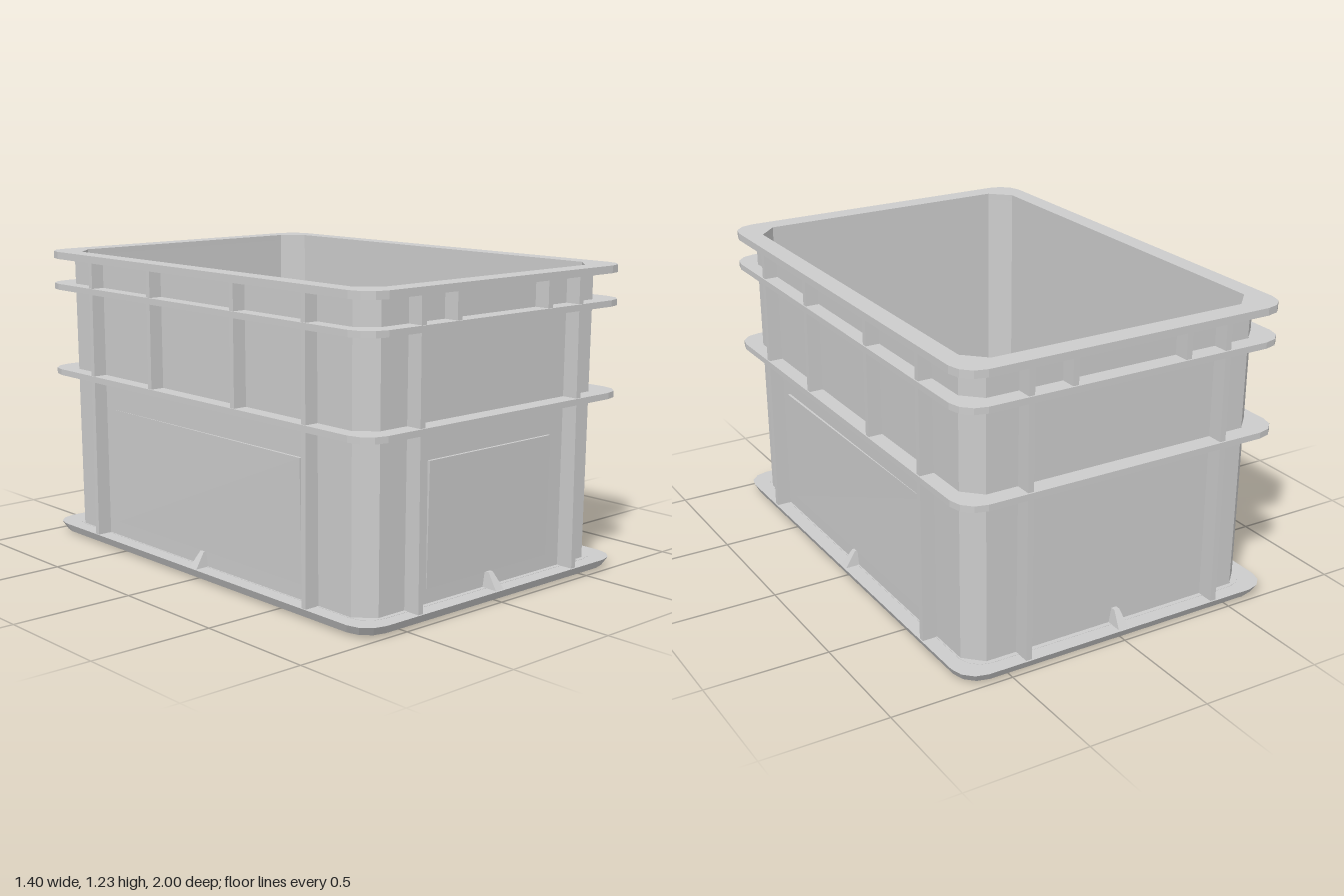
import * as THREE from 'three';

const mat = new THREE.MeshStandardMaterial({ color: 0xcccccc, flatShading: true });

// Rectangle with corners cut in `steps` facets (1 = plain chamfer)
function outline(hx, hz, r, steps, Type = THREE.Shape) {
  const pts = [];
  [[1, 1], [-1, 1], [-1, -1], [1, -1]].forEach(([sx, sz], q) => {
    for (let i = 0; i <= steps; i++) {
      const a = (q + i / steps) * Math.PI / 2;
      pts.push(new THREE.Vector2(sx * (hx - r) + r * Math.cos(a), sz * (hz - r) + r * Math.sin(a)));
    }
  });
  return new Type(pts);
}

// Flat shape on the ground plane, raised from y0 to y1
function slab(shape, y0, y1) {
  const geo = new THREE.ExtrudeGeometry(shape, { depth: y1 - y0, bevelEnabled: false });
  return geo.rotateX(-Math.PI / 2).translate(0, y0, 0);
}

// Move the vertices of a geometry by a rule
function reshape(geo, rule) {
  const p = geo.attributes.position, v = new THREE.Vector3();
  for (let i = 0; i < p.count; i++) {
    v.fromBufferAttribute(p, i);
    rule(v);
    p.setXYZ(i, v.x, v.y, v.z);
  }
  geo.computeVertexNormals();
  return geo;
}

export function createModel() {
  const group = new THREE.Group();
  const add = (name, geo, parent = group) => {
    const mesh = new THREE.Mesh(geo, mat);
    mesh.name = name;
    parent.add(mesh);
    return mesh;
  };
  const draft = y => 0.99 + 0.01 * y / 1.2;

  // Thin walls, slightly narrower towards the floor
  const wall = outline(0.64, 0.93, 0.07, 1);
  wall.holes.push(outline(0.62, 0.912, 0.08, 1, THREE.Path));
  add('walls', reshape(slab(wall, 0.045, 1.21), v => {
    v.x *= draft(v.y);
    v.z *= draft(v.y);
  }));

  // Top rim and horizontal bands around the walls
  const ring = (name, y0, y1, hx, hz, holeX, holeZ) => {
    const shape = outline(hx, hz, 0.1, 3);
    shape.holes.push(outline(holeX, holeZ, 0.08, 1, THREE.Path));
    return add(name, slab(shape, y0, y1));
  };
  ring('rim', 1.195, 1.225, 0.7, 1, 0.62, 0.912);
  ring('upperBand', 1.065, 1.09, 0.7, 1, 0.63, 0.92);
  ring('middleBand', 0.7, 0.725, 0.7, 1, 0.63, 0.92);
  const foot = ring('bottomBand', 0.01, 0.045, 0.7, 1, 0.6, 0.89);
  reshape(foot.geometry, v => { if (v.y < 0.02) { v.x *= 0.975; v.z *= 0.98; } });

  // Floor plate, and an underside frame with a cross and four pockets
  add('floor', slab(outline(0.63, 0.915, 0.08, 1), 0.045, 0.06));
  const frame = outline(0.64, 0.94, 0.09, 3);
  for (const sx of [-1, 1]) for (const sz of [-1, 1]) {
    frame.holes.push(new THREE.Path([
      [0.14, 0.12], [0.58, 0.12], [0.58, 0.82], [0.53, 0.87], [0.14, 0.87],
    ].map(([x, z]) => new THREE.Vector2(sx * x, sz * z))));
    // Tapered diagonal rib in the pocket
    const rib = reshape(new THREE.BoxGeometry(0.6, 0.035, 0.03), v => {
      if (v.y < 0 && v.x > 0) v.y = 0.012;
      if (v.y < 0) v.z *= 0.3;
    });
    const mesh = add('pocketRib', rib);
    mesh.position.set(sx * 0.33, 0.03, sz * 0.37);
    mesh.rotation.y = Math.atan2(-sz * 0.5, sx * 0.38);
  }
  add('baseFrame', slab(frame, 0, 0.046));

  // Fittings are laid out facing +z, then turned onto each side
  const sides = [
    { name: 'front', turn: 0, from: 0.92, to: 0.993, label: 0.33 },
    { name: 'back', turn: Math.PI, from: 0.92, to: 0.993 },
    { name: 'left', turn: Math.PI / 2, from: 0.628, to: 0.695, long: true, label: 0.59, thin: 1 },
    { name: 'right', turn: -Math.PI / 2, from: 0.628, to: 0.695, long: true, label: 0.59, thin: -1 },
  ];
  for (const s of sides) {
    const side = new THREE.Group();
    side.name = s.name + 'SideFittings';
    side.rotation.y = s.turn;
    group.add(side);

    // Vertical ribs, mirrored: distance from the middle, bottom, top
    const ribs = s.long
      ? [[0.665, 0.04, 1.2], [0.262, 0.715, 1.2]]
      : [[0.425, 0.04, 1.2], [0.245, 1.08, 1.2]];
    for (const [x, y0, y1] of ribs) for (const m of [-1, 1]) {
      const geo = new THREE.BoxGeometry(0.024, y1 - y0, s.to - s.from);
      add('verticalRib', geo.translate(m * x, (y0 + y1) / 2, (s.from + s.to) / 2), side);
    }

    // Small pointed gusset in the middle of the bottom band
    const gusset = reshape(new THREE.BoxGeometry(0.045, 0.065, s.to - s.from), v => {
      if (v.y > 0) {
        v.x *= 0.5;
        if (v.z > 0) v.z = -0.015;
      }
    });
    add('gusset', gusset.translate(0, 0.073, (s.from + s.to) / 2), side);

    // Raised label panel that fades out downwards, and to one end on the long sides
    if (s.label) {
      const panel = reshape(new THREE.BoxGeometry(2 * s.label, 0.48, 0.012), v => {
        if (v.z > 0 && (v.y < 0 || (s.thin && v.x * s.thin > 0))) v.z = -0.004;
      });
      add('labelPanel', panel.translate(0, 0.345, s.from + (s.long ? 0.014 : 0.011)), side);
    }
  }
  return group;
}
